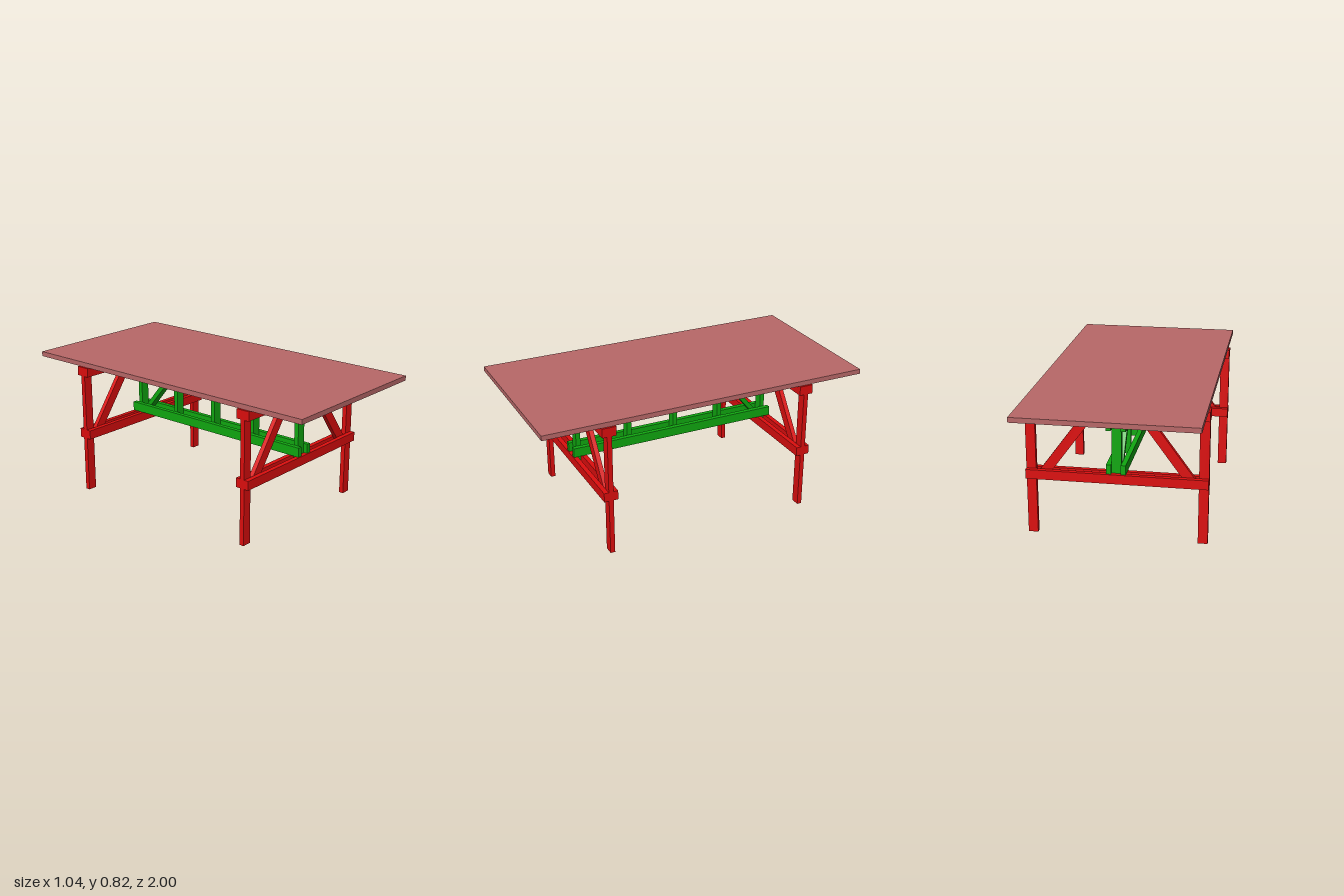
import * as THREE from 'three';

const TOP = new THREE.MeshStandardMaterial({ color: 0xb86868 });
const RED = new THREE.MeshStandardMaterial({ color: 0xdd0e0e });
const GREEN = new THREE.MeshStandardMaterial({ color: 0x10a810 });

const T = 0.028;        // board thickness
const W = 0.056;        // board width
const FRAME_Z = 0.621;  // centre plane of each end frame
const HALF = 0.518;     // half width of the end frames

// Box given by its min and max corners
function board(name, material, [x0, y0, z0], [x1, y1, z1]) {
  const mesh = new THREE.Mesh(new THREE.BoxGeometry(x1 - x0, y1 - y0, z1 - z0), material);
  mesh.position.set((x0 + x1) / 2, (y0 + y1) / 2, (z0 + z1) / 2);
  mesh.name = name;
  return mesh;
}

// Slanted board with level-cut ends: a parallelogram in XY, extruded about z = 0
function slantedBoard(name, material, points, depth) {
  const shape = new THREE.Shape(points.map(([x, y]) => new THREE.Vector2(x, y)));
  const geometry = new THREE.ExtrudeGeometry(shape, { depth, bevelEnabled: false });
  geometry.translate(0, 0, -depth / 2);
  const mesh = new THREE.Mesh(geometry, material);
  mesh.name = name;
  return mesh;
}

// Two legs and two braces clamped between doubled rails
function endFrame(name) {
  const frame = new THREE.Group();
  frame.name = name;
  for (const s of [-1, 1]) {
    const side = s > 0 ? 'left' : 'right';
    const cx = s * (HALF - W / 2);
    frame.add(board(side + 'Leg', RED, [cx - W / 2, 0, -T / 2], [cx + W / 2, 0.792, T / 2]));
    frame.add(slantedBoard(side + 'Brace', RED, [
      [s * 0.475, 0.341], [s * 0.405, 0.341], [s * 0.075, 0.791], [s * 0.145, 0.791],
    ], T - 0.001));
    for (const [label, y] of [['LowerRail', 0.34], ['UpperRail', 0.737]]) {
      const cz = s * T;
      frame.add(board((s > 0 ? 'front' : 'back') + label, RED,
        [-HALF, y, cz - T / 2], [HALF, y + W - 0.001, cz + T / 2]));
    }
  }
  frame.add(board('centrePost', GREEN, [-W / 2, 0.34, -T / 2], [W / 2, 0.792, T / 2]));
  return frame;
}

export function createModel() {
  const table = new THREE.Group();
  table.name = 'trestleTable';

  table.add(board('tableTop', TOP, [-0.508, 0.793, -1], [0.508, 0.822, 1]));

  for (const s of [-1, 1]) {
    const frame = endFrame(s > 0 ? 'frontFrame' : 'backFrame');
    frame.position.z = s * FRAME_Z;
    table.add(frame);
  }

  // Long truss joining the frames: doubled chords with posts between
  const truss = new THREE.Group();
  truss.name = 'truss';
  for (const s of [-1, 1]) {
    for (const [label, y] of [['LowerChord', 0.397], ['UpperChord', 0.652]]) {
      const cx = s * 1.5 * T;
      truss.add(board((s > 0 ? 'left' : 'right') + label, GREEN,
        [cx - T / 2, y, -0.66], [cx + T / 2, y + W, 0.66]));
    }
  }
  for (const z of [0.294, -0.01, -0.313]) {
    truss.add(board('trussPost', GREEN, [-W / 2, 0.397, z - T / 2], [W / 2, 0.708, z + T / 2]));
  }

  // Single diagonal at the back, drawn in XY and turned so that x becomes -z
  const diagonal = slantedBoard('trussDiagonal', GREEN, [
    [0.573, 0.398], [0.609, 0.398], [0.352, 0.707], [0.316, 0.707],
  ], W - 0.001);
  diagonal.rotation.y = Math.PI / 2;
  truss.add(diagonal);
  table.add(truss);

  return table;
}
